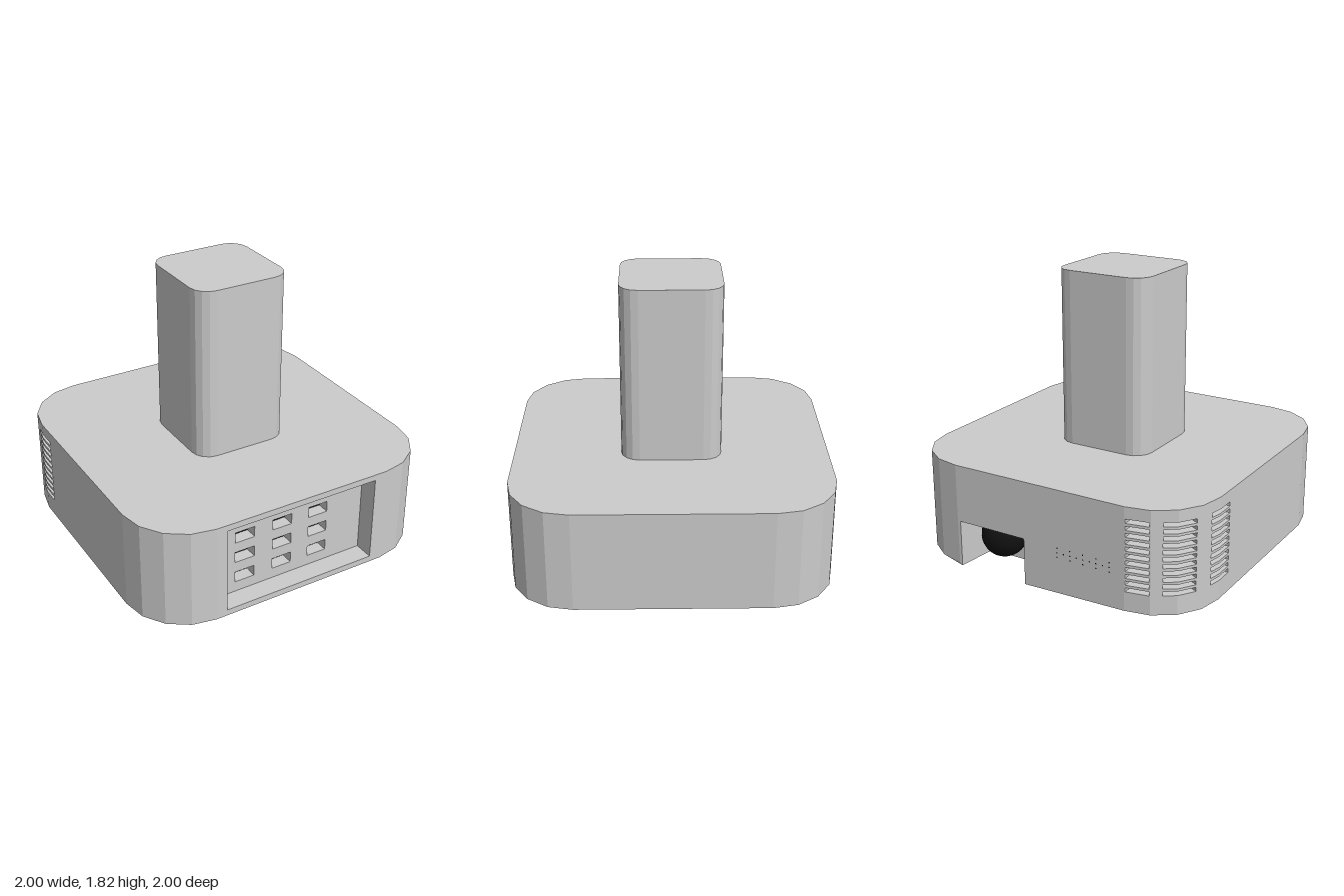
import * as THREE from 'three';
import { mergeGeometries } from 'three/addons/utils/BufferGeometryUtils.js';

const grey = new THREE.MeshStandardMaterial({ color: 0xcccccc, flatShading: true });
const black = new THREE.MeshStandardMaterial({ color: 0x111111 });

// Points of one rounded corner, clockwise as seen from above, as [x, z]
function corner(cx, cz, r, startDeg) {
  return Array.from({ length: 5 }, (_, i) => {
    const a = THREE.MathUtils.degToRad(startDeg - i * 22.5);
    return [cx + r * Math.cos(a), cz + r * Math.sin(a)];
  });
}

// Vertical prism from an [x, z] outline
function prism(points, y0, y1) {
  const shape = new THREE.Shape(points.map(([x, z]) => new THREE.Vector2(x, -z)));
  return new THREE.ExtrudeGeometry(shape, { depth: y1 - y0, bevelEnabled: false })
    .rotateX(-Math.PI / 2).translate(0, y0, 0);
}

// Back corner at -x, with three vent pockets cut into it
function ventCorner() {
  const arc = corner(-0.6, -0.6, 0.4, -90);
  const at = (t, k) => {
    const i = Math.min(Math.floor(t), 3), f = t - i;
    return [0, 1].map(n => -0.6 + k * (arc[i][n] + (arc[i + 1][n] - arc[i][n]) * f + 0.6));
  };
  const pocket = (a, b) => [at(a, 1), at(a, 0.8), at(b, 0.8), at(b, 1)];
  return [arc[0], ...pocket(0.03, 0.95), arc[1], ...pocket(1.45, 2.75), arc[3],
    at(3.5, 1), at(3.5, 0.8), [-0.92, -0.48], [-1, -0.48]];
}

// Outline of the base at one height
function baseOutline({ recess, wheelBay, vents }) {
  return [
    ...corner(0.6, 0.6, 0.4, 90),
    ...corner(0.6, -0.6, 0.4, 0),
    ...(wheelBay ? [[0.58, -1], [0.58, -0.7], [0.1, -0.7], [0.1, -1]] : []),
    ...(vents ? ventCorner() : corner(-0.6, -0.6, 0.4, -90)),
    ...corner(-0.6, 0.6, 0.4, 180),
    ...(recess ? [[-0.53, 1], [-0.53, 0.75], [0.52, 0.75], [0.52, 1]] : []),
  ];
}

function add(group, name, geometry, material = grey) {
  const mesh = new THREE.Mesh(geometry, material);
  mesh.name = name;
  group.add(mesh);
  return mesh;
}

export function createModel() {
  const model = new THREE.Group();
  model.name = 'device';

  // Base stacked in layers, so recess, wheel bay and vent slots are real cuts
  const slots = Array.from({ length: 11 }, (_, i) => 0.172 + i * 0.0427);
  const levels = [0.05, 0.09, 0.33, 0.66, 0.7, ...slots, ...slots.map(y => y + 0.026)]
    .sort((a, b) => a - b);
  const layers = [];
  for (let i = 0; i < levels.length - 1; i++) {
    const mid = (levels[i] + levels[i + 1]) / 2;
    layers.push(prism(baseOutline({
      recess: mid > 0.09 && mid < 0.66,
      wheelBay: mid < 0.33,
      vents: slots.some(y => mid > y && mid < y + 0.026),
    }), levels[i], levels[i + 1]));
  }
  // Underside sags slightly around the wheel bay
  const low = layers[0].attributes.position;
  for (let i = 0; i < low.count; i++) {
    const x = low.getX(i), z = low.getZ(i);
    if (low.getY(i) < 0.06 && z < -0.65 && x > 0.05 && x < 0.59) {
      low.setY(i, z > -0.8 ? 0.01 : 0.03);
    }
  }
  layers[0].computeVertexNormals();
  add(model, 'base', mergeGeometries(layers));

  // Column
  const h = 0.2;
  add(model, 'column', prism([
    ...corner(h, h, 0.118, 90), ...corner(h, -h, 0.118, 0),
    ...corner(-h, -h, 0.118, -90), ...corner(-h, h, 0.118, 180),
  ], 0.69, 1.82));

  // Front panel with a 3 x 3 grid of openings, dark behind
  const rect = (Type, x, y, w, t) => new Type([[0, 0], [w, 0], [w, t], [0, t]]
    .map(([a, b]) => new THREE.Vector2(x + a, y + b)));
  const panel = rect(THREE.Shape, -0.53, 0.09, 1.05, 0.57);
  for (const x of [-0.4, -0.135, 0.125]) {
    for (const y of [0.16, 0.305, 0.447]) panel.holes.push(rect(THREE.Path, x, y, 0.135, 0.073));
  }
  add(model, 'frontPanel', new THREE.ExtrudeGeometry(panel, { depth: 0.08, bevelEnabled: false })
    .translate(0, 0, 0.79));
  add(model, 'panelBacking', new THREE.BoxGeometry(1.04, 0.56, 0.03).translate(-0.005, 0.375, 0.77), black);

  // Wheel in the back bay
  add(model, 'wheel', new THREE.SphereGeometry(0.145, 24, 16).translate(0.35, 0.25, -0.855), black);

  // Small sound holes on the back
  const dots = [];
  for (let i = 0; i < 9; i++) {
    for (const y of [0.27, 0.3, 0.33]) {
      if (y !== 0.3 && i % 2) continue;
      dots.push(new THREE.CircleGeometry(0.005, 6).rotateY(Math.PI).translate(-0.14 - i * 0.045, y, -1.001));
    }
  }
  add(model, 'soundHoles', mergeGeometries(dots), black);

  // Two rows of hexagonal feet under the front
  const feet = new THREE.Group();
  feet.name = 'feet';
  for (const z of [0.845, 0.702]) {
    for (let i = 0; i < 7; i++) {
      const foot = add(feet, 'foot', new THREE.LatheGeometry(
        [[0, 0], [0.026, 0], [0.034, 0.012], [0.034, 0.06]].map(p => new THREE.Vector2(...p)), 6));
      foot.position.set(-0.625 + i * 0.202, 0, z);
    }
  }
  model.add(feet);
  return model;
}
